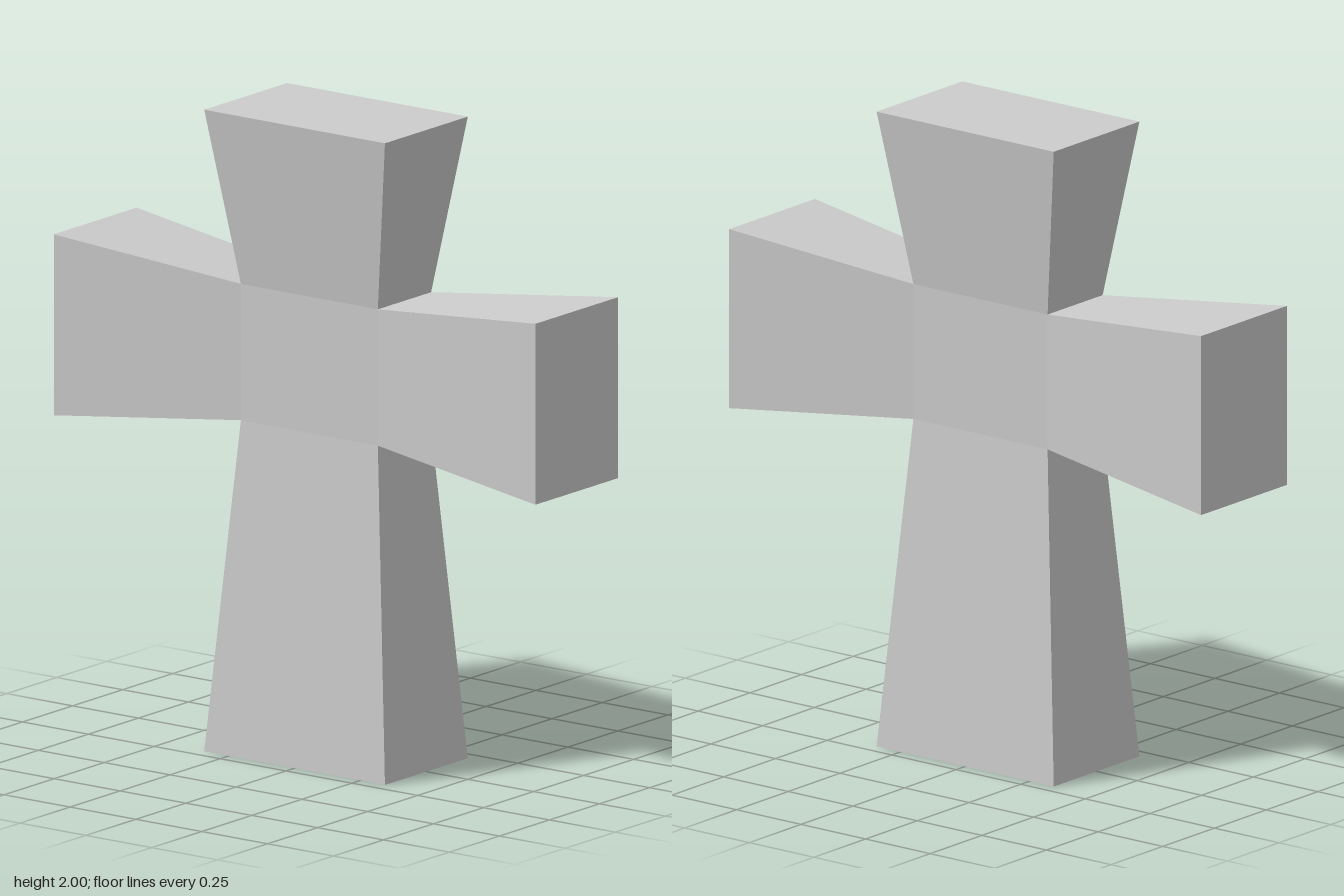
import * as THREE from 'three';

const CENTRE_Y = 1.2425;
const CORE = { x: 0.26, y: 0.2125, z: 0.133 }; // half sizes of the crossing
const FLARE_Z = 0.207; // half depth at every outer end

// Flared limb running up +y from y0 to y1, open where it meets the crossing
function flaredLimb(y0, y1, innerHalf, outerHalf) {
  const geo = new THREE.BoxGeometry(2, 1, 2);
  const index = Array.from(geo.index.array);
  index.splice(18, 6); // drop the hidden inner face
  geo.setIndex(index);
  geo.clearGroups();
  const p = geo.attributes.position;
  for (let i = 0; i < p.count; i++) {
    const outer = p.getY(i) > 0;
    p.setXYZ(
      i,
      p.getX(i) * (outer ? outerHalf : innerHalf),
      outer ? y1 : y0,
      p.getZ(i) * (outer ? FLARE_Z : CORE.z)
    );
  }
  geo.computeVertexNormals();
  return geo;
}

export function createModel() {
  const group = new THREE.Group();
  group.name = 'flaredCross';
  const stone = new THREE.MeshStandardMaterial({ color: 0xcccccc });
  stone.name = 'light grey stone';

  const add = (name, geo) => {
    const mesh = new THREE.Mesh(geo, stone);
    mesh.name = name;
    mesh.position.y = CENTRE_Y;
    group.add(mesh);
  };

  // Upright: short limb above, long limb below
  add('topLimb', flaredLimb(CORE.y, 2 - CENTRE_Y, CORE.x, 0.343));
  add('lowerLimb', flaredLimb(CORE.y, CENTRE_Y, CORE.x, 0.343).rotateZ(Math.PI));

  // Side arms
  add('leftArm', flaredLimb(CORE.x, 0.914, CORE.y, 0.282).rotateZ(-Math.PI / 2));
  add('rightArm', flaredLimb(CORE.x, 0.914, CORE.y, 0.282).rotateZ(Math.PI / 2));

  // Flat faces of the crossing
  const face = () => new THREE.PlaneGeometry(CORE.x * 2, CORE.y * 2).translate(0, 0, CORE.z);
  add('crossingFront', face());
  add('crossingBack', face().rotateY(Math.PI));

  return group;
}
